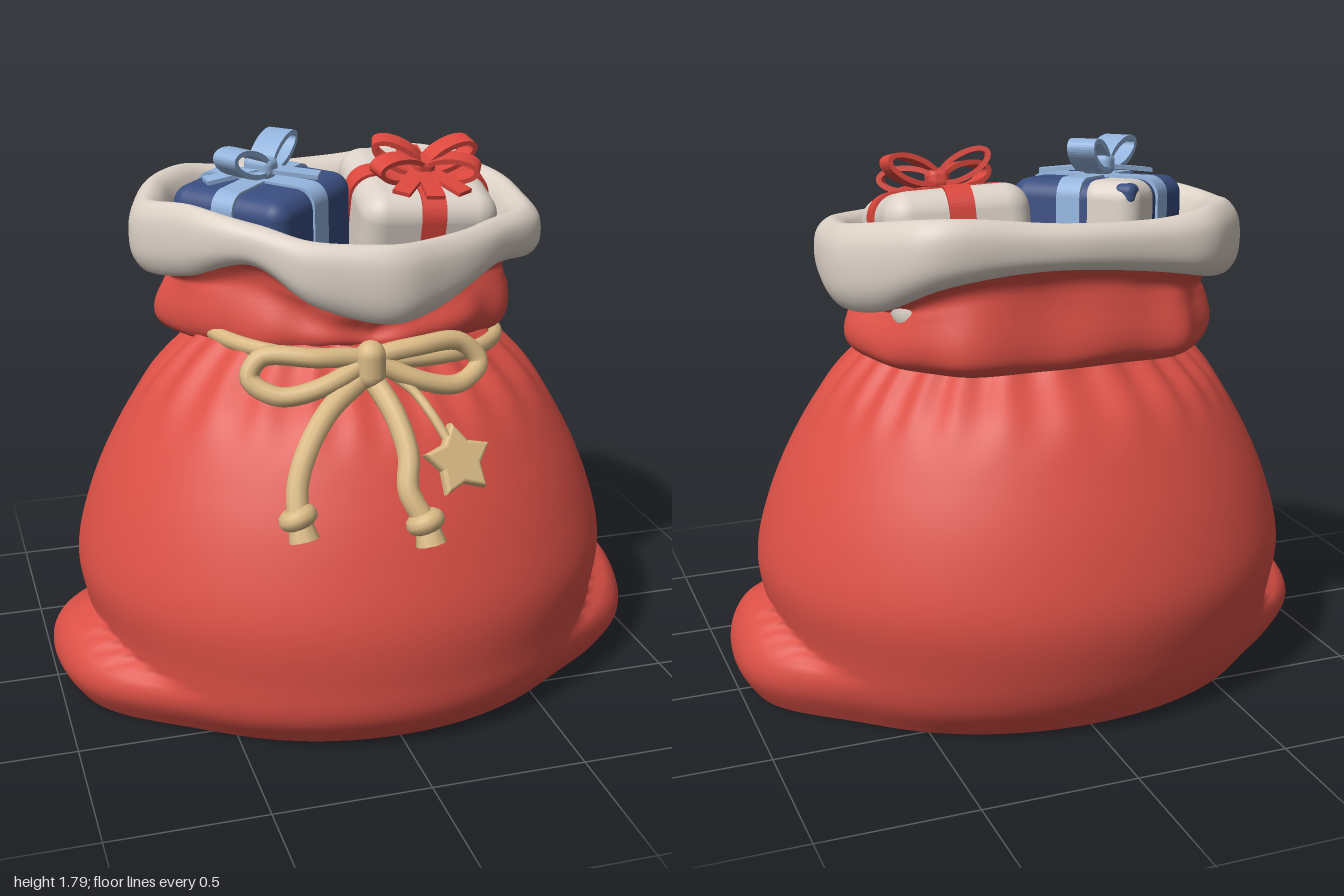
import * as THREE from 'three';
import { RoundedBoxGeometry } from 'three/addons/geometries/RoundedBoxGeometry.js';

const mat = (name, color, side = THREE.FrontSide) => {
  const m = new THREE.MeshStandardMaterial({ color, side });
  m.name = name;
  return m;
};
const V = (x, y, z) => new THREE.Vector3(x, y, z);

// Smooth lookup in rows of [key, ...values]
function table(rows) {
  return new THREE.CubicInterpolant(rows.map(r => r[0]), rows.flatMap(r => r.slice(1)), rows[0].length - 1);
}

// Closed-ring surface: fn(u, v) -> Vector3, u runs round, v runs up
function loft(nu, nv, fn) {
  const pos = [], idx = [];
  for (let j = 0; j <= nv; j++) for (let i = 0; i < nu; i++) pos.push(...fn(i / nu, j / nv).toArray());
  for (let j = 0; j < nv; j++) for (let i = 0; i < nu; i++) {
    const a = j * nu + i, b = j * nu + (i + 1) % nu;
    idx.push(a, b, b + nu, a, b + nu, a + nu);
  }
  const g = new THREE.BufferGeometry();
  g.setAttribute('position', new THREE.Float32BufferAttribute(pos, 3));
  g.setIndex(idx);
  g.computeVertexNormals();
  return g;
}

// Sack profile: height, half width, front depth, back depth
const bodyTable = table([
  [0, 0.82, 0.69, 0.64], [0.1, 0.86, 0.775, 0.72], [0.25, 0.875, 0.80, 0.775], [0.42, 0.9, 0.80, 0.80],
  [0.6, 0.86, 0.75, 0.765], [0.8, 0.775, 0.665, 0.69], [1.0, 0.65, 0.54, 0.58], [1.12, 0.54, 0.40, 0.46], [1.2, 0.45, 0.33, 0.41],
]);
function bodyPoint(u, y) {
  const th = u * Math.PI * 2, s = Math.sin(th), c = Math.cos(th);
  const [a, zf, zb] = bodyTable.evaluate(y);
  // gathers below the neck
  const pleat = 1 + 0.022 * Math.sin(25 * th + 2 * Math.sin(3 * th)) * THREE.MathUtils.smoothstep(y, 0.88, 1.12);
  // slumped lower corners, tallest in the middle
  const off = Math.acos(Math.min(1, Math.abs(s))) * Math.sign(c) - 0.08;
  const spread = Math.exp(-((off / 0.55) ** 4));
  const r = (s > 0 ? 0.22 : 0.18) * (0.45 + 0.55 * Math.exp(-((off / 0.4) ** 2)));
  const lump = Math.sqrt(Math.max(0, 1 - ((y - 0.08) / (y > 0.08 ? r : 0.2)) ** 2));
  const x = a * s * pleat + Math.sign(s) * 0.145 * lump * spread;
  return V(x, y, c * (c > 0 ? zf : zb) * pleat);
}
function frontZ(x, y) {
  const [a, zf] = bodyTable.evaluate(y);
  return zf * Math.sqrt(1 - (x / a) ** 2);
}

// Mouth of the sack: x, z, lower edge, upper edge
const mouth = [
  [0.02, 0.43, 1.28, 1.53], [0.22, 0.40, 1.3, 1.53], [0.45, 0.28, 1.39, 1.54], [0.64, 0.13, 1.38, 1.55], [0.70, -0.12, 1.32, 1.57],
  [0.63, -0.38, 1.34, 1.61], [0.45, -0.57, 1.44, 1.64], [0.1, -0.6, 1.47, 1.61], [-0.25, -0.6, 1.44, 1.6], [-0.47, -0.55, 1.4, 1.62],
  [-0.6, -0.38, 1.37, 1.61], [-0.66, -0.18, 1.35, 1.59], [-0.56, 0.05, 1.38, 1.61], [-0.38, 0.24, 1.45, 1.58], [-0.2, 0.36, 1.34, 1.54],
];
const ring = new THREE.CatmullRomCurve3(mouth.map(p => V(p[0], p[2], p[1])), true, 'catmullrom');
const ringTop = new THREE.CatmullRomCurve3(mouth.map(p => V(p[3], 0, 0)), true, 'catmullrom');
const fromFront = u => Math.min(u, 1 - u);

// Cloth rings around the mouth. Rows: scale, fixed height, weight of edge height, place across the band
function mouthLoft(rows, nv, fold) {
  const t = table(rows.map((r, i) => [i, ...r]));
  return loft(144, nv, (u, v) => {
    const p = ring.getPoint(u), top = ringTop.getPoint(u).x;
    const [k, c, e, f] = t.evaluate(v * (rows.length - 1));
    const s = k + fold(u, v), lift = 0.04 * Math.exp(-((fromFront(u) / 0.12) ** 2));
    return V(p.x * s, THREE.MathUtils.lerp(c + lift, p.y + f * (top - p.y), e), (p.z + 0.08) * s - 0.08);
  });
}

// Rounded rectangle slab, centred, extruded along z
function slab(w, h, depth, r) {
  const x = w / 2 - r, y = h / 2 - r, s = new THREE.Shape();
  [[x, y], [-x, y], [-x, -y], [x, -y]].forEach(([cx, cy], i) => s.absarc(cx, cy, r, i * Math.PI / 2, (i + 1) * Math.PI / 2));
  return new THREE.ExtrudeGeometry(s, { depth, bevelEnabled: false, curveSegments: 6 }).translate(0, 0, -depth / 2);
}

export function createModel() {
  const root = new THREE.Group();
  root.name = 'giftSack';
  const red = mat('sackRed', 0xdc5046, THREE.DoubleSide), fur = mat('trimCream', 0xdbd0c5, THREE.DoubleSide);
  const tan = mat('twineTan', 0xd9b984), navy = mat('giftNavy', 0x3a4e80), sky = mat('ribbonBlue', 0x93b3dc);
  const ribbonRed = mat('ribbonRed', 0xdb473d), paper = mat('paperCream', 0xdbd1c7);
  const add = (parent, name, geo, m, pos = [0, 0, 0], rot = [0, 0, 0]) => {
    const mesh = new THREE.Mesh(geo, m);
    mesh.name = name;
    mesh.position.set(...pos);
    mesh.rotation.set(...rot);
    parent.add(mesh);
    return mesh;
  };

  // Sack body, flat base, gathered collar with diagonal folds towards the knot
  add(root, 'sackBody', loft(216, 64, (u, v) => bodyPoint(u, v * 1.2)), red);
  add(root, 'sackBase', loft(216, 1, (u, v) => bodyPoint(u, 0).multiplyScalar(v)), red);
  add(root, 'collar', mouthLoft([
    [0.62, 1.15, 0, 0], [0.77, 1.14, 0, 0], [0.85, 1.17, 0, 0], [0.87, 1.23, 0, 0],
    [0.83, 1.29, 0.3, 0], [0.82, 1.3, 0.7, 0], [0.9, 1.3, 1, 0.15],
  ], 32, (u, v) => {
    const w = Math.sin(Math.PI * v), front = fromFront(u);
    const crease = -0.05 * Math.exp(-(((v - 0.38 - 2.2 * front) / 0.09) ** 2)) * Math.exp(-((front / 0.16) ** 4));
    return w * (0.014 * Math.sin(u * 44 + 5 * v) + 0.01 * Math.sin(u * 82 - 3 * v) - 0.09 * Math.exp(-((front / 0.05) ** 2)) + crease);
  }), red);

  // Thick trim that rolls over into the lining and its floor
  add(root, 'furTrim', mouthLoft([
    [0.82, 1.25, 1, 0.15], [0.92, 1.25, 1, 0], [0.985, 1.25, 1, 0.2], [1.0, 1.25, 1, 0.5], [0.985, 1.25, 1, 0.8], [0.93, 1.25, 1, 0.99],
    [0.87, 1.25, 1, 0.97], [0.82, 1.25, 1, 0.8], [0.77, 1.25, 0.9, 0.5], [0.68, 1.25, 0.3, 0.2], [0.58, 1.25, 0, 0], [0, 1.25, 0, 0],
  ], 44, (u, v) => (v < 0.8 ? 0.008 * Math.sin(u * Math.PI * 22) : 0)), fur);

  // Twine: neck cord, bow loops, tails and knots
  const twine = new THREE.Group();
  twine.name = 'twine';
  root.add(twine);
  const cord = (name, pts, r = 0.031, closed = false) =>
    add(twine, name, new THREE.TubeGeometry(new THREE.CatmullRomCurve3(pts, closed), 56, r, 10, closed), tan);
  const neck = [];
  for (let i = -10; i <= 10; i++) {
    const th = i * 0.14, y = 1.16 - 0.035 * Math.sin(th);
    const [a, zf] = bodyTable.evaluate(y);
    neck.push(V((a - 0.01) * Math.sin(th), y, (zf + 0.02) * Math.cos(th)));
  }
  cord('neckCord', neck, 0.026);
  cord('leftBowLoop', [V(0, 1.18, 0.42), V(0.14, 1.21, 0.42), V(0.28, 1.2, 0.39), V(0.34, 1.13, 0.4), V(0.26, 1.08, 0.44), V(0.12, 1.11, 0.45)], 0.031, true);
  cord('rightBowLoop', [V(-0.05, 1.18, 0.42), V(-0.2, 1.2, 0.42), V(-0.36, 1.2, 0.37), V(-0.4, 1.14, 0.38), V(-0.32, 1.09, 0.43), V(-0.17, 1.12, 0.45)], 0.031, true);
  add(twine, 'bowKnot', new THREE.CapsuleGeometry(0.047, 0.06, 6, 14), tan, [-0.03, 1.17, 0.44]);
  const onSack = pts => pts.map(([x, y]) => V(x, y, frontZ(x, y) + 0.03));
  const tails = [
    ['rightTail', [[-0.06, 1.12], [-0.18, 1.05], [-0.27, 0.95], [-0.31, 0.86], [-0.32, 0.78]]],
    ['leftTail', [[-0.02, 1.12], [0.02, 1.03], [0.035, 0.93], [0.02, 0.84], [0.06, 0.75]]],
  ];
  for (const [name, pts] of tails) {
    const path = onSack(pts), end = path[path.length - 1];
    cord(name, path, 0.035);
    add(twine, name + 'Knot', new THREE.TorusGeometry(0.03, 0.032, 10, 18), tan, end.toArray(), [Math.PI / 2 - 0.3, 0.3, 0]);
    add(twine, name + 'Fray', new THREE.CylinderGeometry(0.035, 0.048, 0.06, 10), tan, [end.x + 0.01, end.y - 0.04, end.z + 0.01], [-0.3, 0, 0.15]);
  }

  // Hanging star
  cord('starCord', onSack([[0.02, 1.14], [0.1, 1.08], [0.14, 1.02], [0.17, 0.96]]), 0.015);
  const star = new THREE.Shape();
  for (let i = 0; i < 10; i++) {
    const r = i % 2 ? 0.058 : 0.102, a = Math.PI / 2 + i * Math.PI / 5 + 0.1;
    star[i ? 'lineTo' : 'moveTo'](r * Math.cos(a), r * Math.sin(a));
  }
  const starGeo = new THREE.ExtrudeGeometry(star, { depth: 0.025, bevelEnabled: true, bevelSize: 0.012, bevelThickness: 0.015, bevelSegments: 3 });
  add(twine, 'star', starGeo, tan, [0.2, 0.88, frontZ(0.2, 0.88) - 0.01], [-0.5, 0.15, 0]);

  // Ribbon bow made of flat loops, a knot and tails
  const loopShape = new THREE.Shape().absellipse(0.095, 0, 0.095, 0.045, 0, Math.PI * 2);
  loopShape.holes.push(new THREE.Path().absellipse(0.095, 0, 0.078, 0.028, 0, Math.PI * 2));
  function bow(parent, m, pos, yaw, width, loops, tailAngles) {
    const g = new THREE.Group();
    g.name = 'bow';
    g.position.set(...pos);
    g.rotation.y = yaw;
    parent.add(g);
    const loopGeo = new THREE.ExtrudeGeometry(loopShape, { depth: width, bevelEnabled: false, curveSegments: 20 }).translate(0, 0, -width / 2);
    for (const side of [0, Math.PI]) for (const [tilt, turn] of loops) {
      const arm = new THREE.Group();
      arm.name = 'bowArm';
      arm.rotation.y = side + (side ? -turn : turn);
      g.add(arm);
      add(arm, 'bowLoop', loopGeo, m, [0, 0.03, 0], [0, 0, tilt]);
    }
    add(g, 'bowCentre', new RoundedBoxGeometry(0.07, 0.07, width + 0.015, 3, 0.025), m, [0, 0.035, 0]);
    for (const a of tailAngles) {
      const tail = new THREE.Group();
      tail.name = 'bowTail';
      tail.rotation.y = a;
      g.add(tail);
      add(tail, 'tailStrip', new THREE.BoxGeometry(0.06, 0.014, 0.18), m, [0, 0.02, 0.1], [0.1, 0, 0]);
    }
  }

  // Wrapped box with crossing ribbons
  function gift(name, size, round, wrap, ribbon, pos, rot) {
    const g = new THREE.Group();
    g.name = name;
    g.position.set(...pos);
    g.rotation.set(...rot, 'YXZ');
    root.add(g);
    const [w, h, d] = size, e = 0.016;
    add(g, 'box', new RoundedBoxGeometry(w, h, d, 5, round), wrap);
    add(g, 'ribbonCrosswise', slab(w + e, h + e, 0.08, round), ribbon);
    add(g, 'ribbonLengthwise', slab(d + e, h + e, 0.08, round), ribbon, [0, 0, 0], [0, Math.PI / 2, 0]);
    return g;
  }
  const blue = gift('blueGift', [0.44, 0.43, 0.44], 0.06, navy, sky, [-0.235, 1.44, -0.09], [0.03, 0.74, 0.08]);
  add(blue, 'paperCorner', new RoundedBoxGeometry(0.2, 0.438, 0.2, 4, 0.06), paper, [0.124, 0, -0.124]);
  add(blue, 'paperCornerTip', new RoundedBoxGeometry(0.07, 0.07, 0.07, 4, 0.025), navy, [0.18, 0.178, -0.18]);
  bow(blue, sky, [0, 0.22, 0], 0.0, 0.09, [[0.4, 0.1]], [0.4, -2.2]);
  const pale = gift('creamGift', [0.46, 0.44, 0.49], 0.08, paper, ribbonRed, [0.29, 1.43, -0.13], [0.22, -0.08, -0.04]);
  bow(pale, ribbonRed, [0, 0.22, 0.04], 0, 0.07, [[0.42, 0.2], [0.12, -0.35]], [0, 0.6, -0.6]);
  return root;
}
